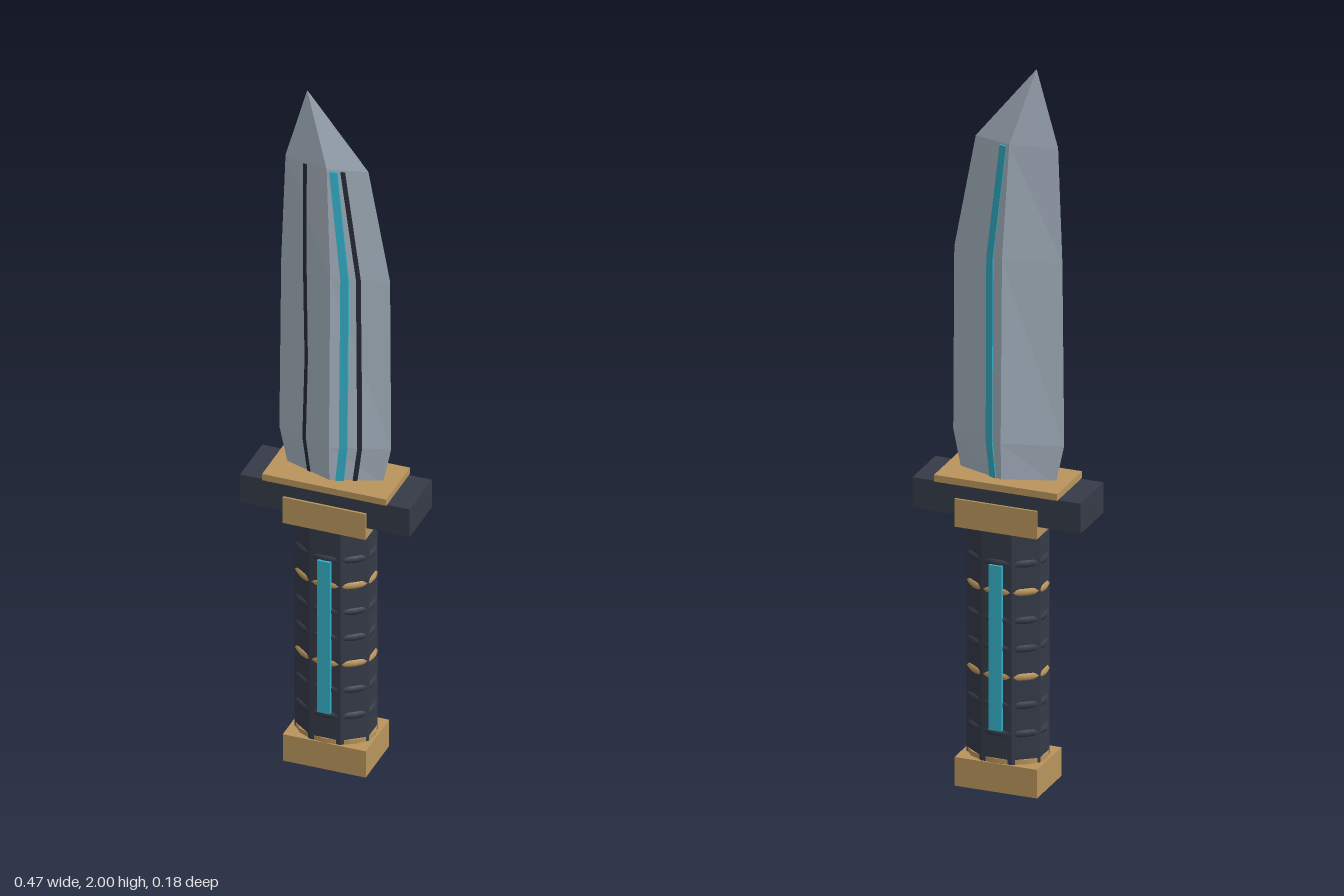
import * as THREE from 'three';

const mat = (name, color) => {
  const m = new THREE.MeshStandardMaterial({ color });
  m.name = name;
  return m;
};

// Blade sections: y, back edge x, cutting edge x, ridge x, half thickness
const SECTIONS = [
  [0.85, -0.133, 0.13, 0, 0.047],
  [0.96, -0.157, 0.153, 0, 0.05],
  [1.47, -0.152, 0.15, 0, 0.041],
  [1.79, -0.14, 0.09, -0.015, 0.028],
  [2.0, -0.08, -0.079, -0.0795, 0.0005],
];

// Half thickness of the blade at a point
function bladeZ(x, y) {
  let i = 0;
  while (i < SECTIONS.length - 2 && y > SECTIONS[i + 1][0]) i++;
  const a = SECTIONS[i], b = SECTIONS[i + 1];
  const t = (y - a[0]) / (b[0] - a[0]);
  const [, l, r, m, h] = a.map((v, k) => v + (b[k] - v) * t);
  return h * (1 - (x < m ? (m - x) / (m - l) : (x - m) / (r - m)));
}

// Flat-faced solid through rings of points (right, back, left, front order, going up)
function loft(rings) {
  const pos = [], n = rings[0].length;
  const tri = (...pts) => pts.forEach((p) => pos.push(...p));
  for (let k = 0; k < rings.length - 1; k++) {
    const a = rings[k], b = rings[k + 1];
    for (let i = 0; i < n; i++) {
      const j = (i + 1) % n;
      tri(a[i], a[j], b[i]);
      tri(a[j], b[j], b[i]);
    }
  }
  const first = rings[0], last = rings[rings.length - 1];
  for (let i = 1; i < n - 1; i++) {
    tri(first[0], first[i + 1], first[i]);
    tri(last[0], last[i], last[i + 1]);
  }
  const g = new THREE.BufferGeometry();
  g.setAttribute('position', new THREE.Float32BufferAttribute(pos, 3));
  g.computeVertexNormals();
  return g;
}

// Thin strip lying on one face of the blade; path is [x, y] going up
function bladeStrip(path, width, lift, side) {
  return loft(path.map(([x, y]) => {
    const l = x - width / 2, r = x + width / 2;
    const zl = bladeZ(l, y), zr = bladeZ(r, y), sink = 0.004;
    return side > 0
      ? [[r, y, zr - sink], [l, y, zl - sink], [l, y, zl + lift], [r, y, zr + lift]]
      : [[r, y, -zr - lift], [l, y, -zl - lift], [l, y, -zl + sink], [r, y, -zr + sink]];
  }));
}

export function createModel() {
  const steel = mat('steel', 0xaab7c4);
  const dark = mat('dark grip', 0x353b48);
  const groove = mat('dark groove', 0x282c38);
  const gold = mat('gold', 0xba955c);
  const cyan = mat('cyan', 0x35b0c8);

  const model = new THREE.Group();
  model.name = 'knife';
  const add = (name, geometry, material) => {
    const mesh = new THREE.Mesh(geometry, material);
    mesh.name = name;
    model.add(mesh);
    return mesh;
  };
  const box = (name, w, y0, y1, d, material, z = 0) =>
    add(name, new THREE.BoxGeometry(w, y1 - y0, d), material).position.set(0, (y0 + y1) / 2, z);

  // Blade with a diamond cross-section
  add('blade', loft(SECTIONS.map(([y, l, r, m, h]) =>
    [[r, y, 0], [m, y, -h], [l, y, 0], [m, y, h]])), steel);

  // Inlays on the blade
  const glowPath = [[0.026, 0.86], [0.036, 0.96], [0.037, 1.47], [0.003, 1.785]];
  for (const side of [1, -1]) {
    add(side > 0 ? 'frontInlay' : 'backInlay', bladeStrip(glowPath, 0.02, 0.005, side), cyan);
  }
  add('rightGroove', bladeStrip(
    [[-0.065, 0.86], [-0.078, 0.96], [-0.072, 1.2], [-0.078, 1.47], [-0.08, 1.785]], 0.01, 0.003, 1), groove);
  add('leftGroove', bladeStrip(
    [[0.063, 0.86], [0.076, 0.96], [0.071, 1.47], [0.026, 1.785]], 0.011, 0.003, 1), groove);

  // Guard
  box('guardPlate', 0.344, 0.841, 0.86, 0.168, gold);
  box('guard', 0.47, 0.757, 0.841, 0.156, dark);
  box('guardCollar', 0.23, 0.724, 0.802, 0.168, gold);

  // Eight-sided grip
  const grip = new THREE.CylinderGeometry(0.111, 0.111, 0.66, 8, 1).toNonIndexed();
  grip.rotateY(Math.PI / 8);
  grip.scale(1, 1, 0.76);
  grip.computeVertexNormals();
  add('grip', grip, dark).position.y = 0.4;

  // Grip rings, two of them gold
  for (let i = 0; i < 7; i++) {
    const isGold = i === 2 || i === 5;
    const ring = new THREE.TorusGeometry(0.1, 0.011, 6, 24);
    ring.rotateX(Math.PI / 2);
    ring.scale(1, 1, 0.755);
    add(isGold ? 'goldRing' : 'gripRing', ring, isGold ? gold : dark).position.y = 0.165 + i * 0.079;
  }

  // Light strips on the grip
  box('frontGripStrip', 0.036, 0.173, 0.634, 0.016, cyan, 0.08);
  box('backGripStrip', 0.036, 0.173, 0.634, 0.016, cyan, -0.08);

  // Pommel
  box('pommel', 0.23, 0, 0.08, 0.166, gold);
  const cap = new THREE.CylinderGeometry(0.11, 0.11, 0.014, 16);
  cap.scale(1, 1, 0.75);
  add('pommelRing', cap, gold).position.y = 0.086;

  return model;
}
